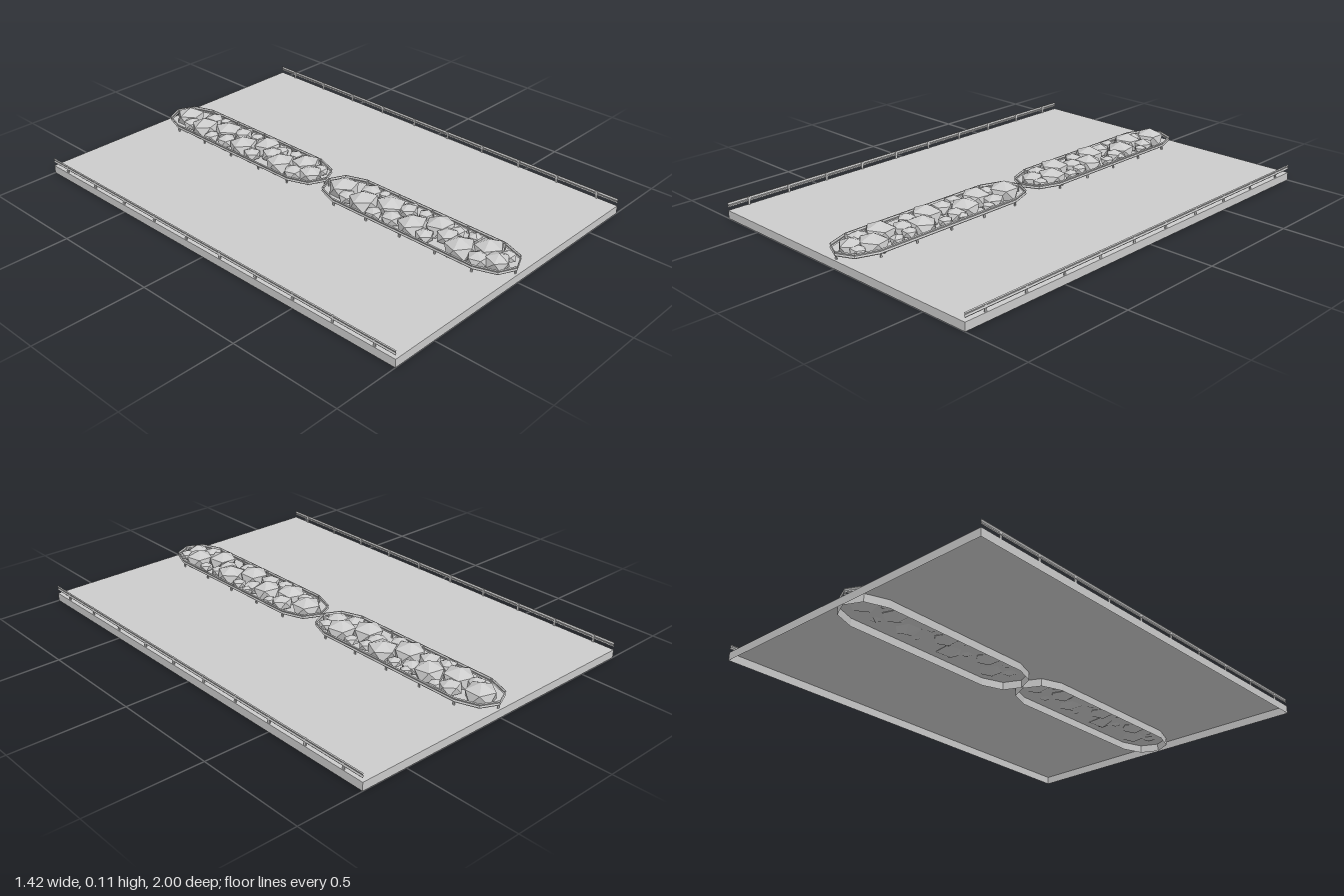
import * as THREE from 'three';

const mat = new THREE.MeshStandardMaterial({ color: 0xcccccc, flatShading: true, side: THREE.DoubleSide });
const TOP = 0.036;

function add(parent, geometry, name, x = 0, y = 0, z = 0) {
  const mesh = new THREE.Mesh(geometry, mat);
  mesh.name = name;
  mesh.position.set(x, y, z);
  parent.add(mesh);
  return mesh;
}

// Joins neighbouring cross-section loops (arrays of [x, y, z]) with quads
function loft(rows, closed) {
  const n = rows[0].length;
  const index = [];
  for (let r = 0; r < rows.length - 1; r++) {
    for (let i = 0; i < (closed ? n : n - 1); i++) {
      const a = r * n + i, b = r * n + (i + 1) % n;
      index.push(a, a + n, b, b, a + n, b + n);
    }
  }
  const g = new THREE.BufferGeometry();
  g.setAttribute('position', new THREE.Float32BufferAttribute(rows.flat(2), 3));
  g.setIndex(index);
  return g.toNonIndexed();
}

// Guard rail profile: [outward offset, height]
const railProfile = [[-0.002, 0.05], [0.001, 0.054], [-0.002, 0.061], [0.001, 0.068], [-0.002, 0.072]];

// Half outline of an island, mirrored into a closed loop
const quarter = [[0, 0.495], [0.075, 0.46], [0.11, 0.365]];
const half = [...quarter, ...quarter.map(([x, z]) => [x, -z]).reverse()];
const outline = [...half, ...half.slice(1, -1).map(([x, z]) => [-x, z]).reverse()];
const ring = (y, out = 0) => outline.map(([x, z]) => [x * (1 + out / 0.11), y, z * (1 + out / 0.495)]);

// Shrubs: [x, z, radius]
const shrubs = [
  [0, -0.4, 0.07], [-0.045, -0.34, 0.042], [-0.03, -0.26, 0.07], [0.05, -0.29, 0.05],
  [0.075, -0.235, 0.03], [-0.07, -0.17, 0.04], [0.02, -0.155, 0.068], [-0.05, -0.09, 0.048],
  [0.045, -0.08, 0.045], [0.08, -0.085, 0.028], [-0.035, 0.01, 0.07], [0.065, -0.005, 0.033],
  [-0.06, 0.09, 0.042], [0.035, 0.095, 0.068], [0, 0.16, 0.05], [0.05, 0.17, 0.035],
  [-0.035, 0.25, 0.07], [0.065, 0.245, 0.033], [0.035, 0.34, 0.068], [-0.05, 0.345, 0.048],
  [-0.01, 0.41, 0.055], [0.045, 0.42, 0.036],
];

function createIsland() {
  const island = new THREE.Group();
  add(island, loft([ring(0.001), ring(TOP)], true), 'islandFoundation');
  add(island, loft(railProfile.map(([o, y]) => ring(y, o)), true), 'islandRail');
  // Posts along both long sides and at the tips
  for (const s of [-1, 1]) {
    for (let i = 0; i < 5; i++) {
      add(island, new THREE.BoxGeometry(0.004, 0.032, 0.008), 'islandPost', s * 0.106, 0.052, -0.36 + i * 0.18);
    }
    add(island, new THREE.BoxGeometry(0.008, 0.032, 0.004), 'islandPost', 0, 0.052, s * 0.488);
  }
  // Faceted, flattened shrubs with a corner pointing up
  shrubs.forEach(([x, z, r], i) => {
    const g = new THREE.IcosahedronGeometry(r, 0);
    g.rotateZ(0.5536);
    g.rotateY(i * 1.9);
    g.rotateX(0.12 * Math.sin(i * 2.3));
    g.scale(1, 0.7, 1);
    add(island, g, 'shrub', x, 0.06, z);
  });
  return island;
}

export function createModel() {
  const model = new THREE.Group();

  // Road deck: top surface and skirt, open underneath
  const corners = [[-0.71, -1], [-0.71, 1], [0.71, 1], [0.71, -1]];
  add(model, new THREE.PlaneGeometry(1.42, 2).rotateX(-Math.PI / 2), 'roadSurface', 0, TOP, 0);
  add(model, loft([0, TOP].map((y) => corners.map(([x, z]) => [x, y, z])), true), 'roadSkirt');

  // Guard rails along both edges
  for (const s of [-1, 1]) {
    const rows = railProfile.map(([o, y]) => [-1, 1].map((z) => [s * (0.709 + o), y, z]));
    add(model, loft(rows, false), 'sideRail');
    for (let i = 0; i < 10; i++) {
      add(model, new THREE.BoxGeometry(0.004, 0.034, 0.01), 'sideRailPost', s * 0.706, 0.053, -0.9 + i * 0.2);
    }
  }

  // Two planted islands in line
  for (const z of [-0.5, 0.5]) {
    const island = createIsland();
    island.name = z > 0 ? 'frontIsland' : 'backIsland';
    island.position.z = z;
    model.add(island);
  }
  return model;
}
